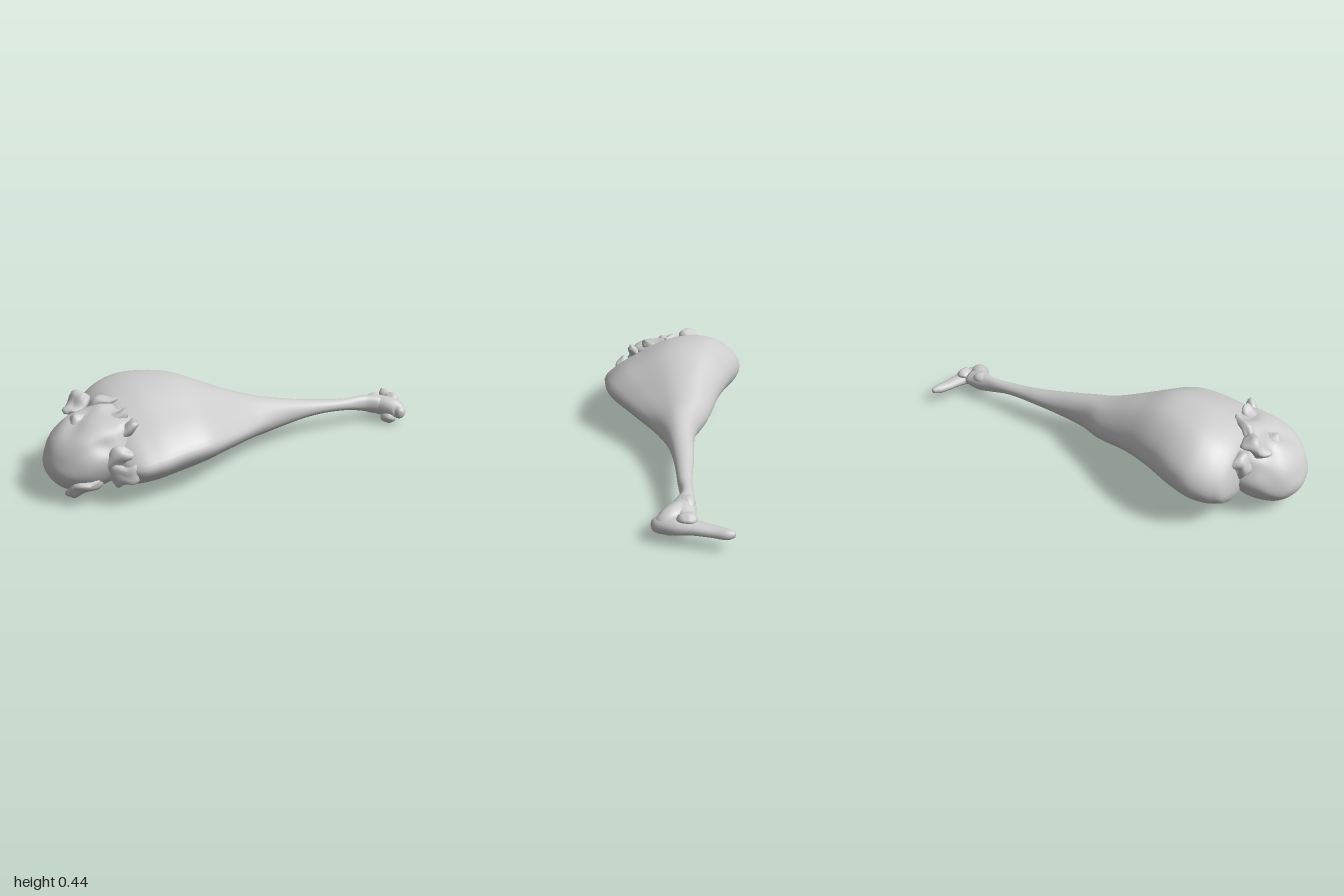
import * as THREE from 'three';
import { mergeVertices } from 'three/addons/utils/BufferGeometryUtils.js';

const material = new THREE.MeshStandardMaterial({ color: 0xcccccc, roughness: 0.8 });
const V = (x, y, z) => new THREE.Vector3(x, y, z);

// Smooth, repeatable surface unevenness in about -1..1
const lumps = (p, f) =>
  (Math.sin(p.x * f + 1.3 * Math.sin(p.z * f * 0.8)) + Math.sin(p.y * f * 1.3 + 2 + Math.sin(p.x * f)) +
    Math.sin(p.z * f * 1.1 + 4 + Math.sin(p.y * f * 0.9))) / 3;

// Smooth interpolation through rows; the first column is the parameter
function sampler(rows) {
  const n = rows[0].length - 1;
  const track = new THREE.CubicInterpolant(rows.map(r => r[0]), rows.flatMap(r => r.slice(1)), n, new Array(n));
  return t => [...track.evaluate(t)];
}

// Skin through closed rings of points, with both ends capped
function loft(rings) {
  const n = rings[0].length, pos = [], idx = [];
  rings.forEach(r => r.forEach(p => pos.push(p.x, p.y, p.z)));
  for (let i = 0; i < rings.length - 1; i++)
    for (let j = 0; j < n; j++) {
      const a = i * n + j, b = i * n + (j + 1) % n;
      idx.push(a, a + n, b, b, a + n, b + n);
    }
  [0, rings.length - 1].forEach((i, end) => {
    const c = rings[i].reduce((s, p) => s.add(p), V(0, 0, 0)).divideScalar(n);
    const k = pos.length / 3;
    pos.push(c.x, c.y, c.z);
    for (let j = 0; j < n; j++) {
      const a = i * n + j, b = i * n + (j + 1) % n;
      if (end) idx.push(k, b, a); else idx.push(k, a, b);
    }
  });
  const g = new THREE.BufferGeometry();
  g.setAttribute('position', new THREE.Float32BufferAttribute(pos, 3));
  g.setIndex(idx);
  g.computeVertexNormals();
  return g;
}

function add(group, name, geometry) {
  const mesh = new THREE.Mesh(geometry, material);
  mesh.name = name;
  group.add(mesh);
  return mesh;
}

// Sphere reshaped by a rule on its unit-sphere points
function blob(rule, w = 40, h = 28) {
  let g = new THREE.SphereGeometry(1, w, h);
  g.deleteAttribute('uv');
  g.deleteAttribute('normal');
  g = mergeVertices(g, 1e-4);
  const p = g.attributes.position, v = V(0, 0, 0);
  for (let i = 0; i < p.count; i++) {
    rule(v.fromBufferAttribute(p, i));
    p.setXYZ(i, v.x, v.y, v.z);
  }
  g.computeVertexNormals();
  return g;
}

// Limb along a path; rows are [x, y, z, half width, half height]
function limb(rows, steps = 28, sides = 16) {
  const at = sampler(rows.map((r, i) => [i, ...r])), rings = [], up = V(0, 1, 0);
  for (let i = 0; i <= steps; i++) {
    const t = i / steps * (rows.length - 1);
    const [x, y, z, w, h] = at(t);
    const q = at(Math.min(t + 0.05, rows.length - 1)), r = at(Math.max(t - 0.05, 0));
    const side = V(q[0] - r[0], 0, q[2] - r[2]).normalize().cross(up);
    rings.push(Array.from({ length: sides }, (_, j) => {
      const a = j / sides * Math.PI * 2;
      return V(x, y, z).addScaledVector(side, Math.cos(a) * w).addScaledVector(up, Math.sin(a) * h);
    }));
  }
  return loft(rings);
}

export function createModel() {
  const group = new THREE.Group();
  group.name = 'meatLeg';

  // Thigh and shank: x, bottom, top, back z, front z
  const body = sampler([
    [-0.76, 0.10, 0.27, -0.20, 0.20],
    [-0.74, 0.05, 0.33, -0.29, 0.28],
    [-0.70, 0.02, 0.375, -0.34, 0.34],
    [-0.60, 0.005, 0.425, -0.38, 0.375],
    [-0.50, 0.015, 0.443, -0.36, 0.375],
    [-0.35, 0.04, 0.432, -0.285, 0.355],
    [-0.20, 0.052, 0.37, -0.21, 0.28],
    [0.00, 0.06, 0.285, -0.13, 0.165],
    [0.10, 0.068, 0.255, -0.07, 0.125],
    [0.20, 0.08, 0.23, -0.04, 0.10],
    [0.40, 0.10, 0.185, -0.015, 0.08],
    [0.60, 0.092, 0.155, 0.015, 0.08],
    [0.72, 0.065, 0.152, 0.02, 0.085],
    [0.80, 0.045, 0.148, 0.02, 0.13],
    [0.87, 0.06, 0.125, 0.03, 0.13],
  ]);
  // Lopsided outline of the thigh in unit coordinates (z, y)
  const outline = new THREE.CatmullRomCurve3([
    [1, -0.1], [0.79, 0.26], [0.5, 0.56], [0.08, 0.91], [-0.26, 1], [-0.6, 0.92], [-0.93, 0.5],
    [-1, 0.04], [-0.8, -0.4], [-0.48, -0.74], [-0.08, -0.98], [0.22, -0.97], [0.6, -0.72], [0.88, -0.45],
  ].map(([z, y]) => V(0, y, z)), true);
  const sides = 56, steps = 110, rings = [];
  for (let i = 0; i <= steps; i++) {
    const x = -0.76 + 1.63 * i / steps;
    const [y0, y1, z0, z1] = body(x);
    const thigh = 1 - THREE.MathUtils.smoothstep(x, -0.2, 0.3);
    rings.push(Array.from({ length: sides }, (_, j) => {
      const a = j / sides * Math.PI * 2;
      const u = V(0, Math.sin(a), Math.cos(a)).lerp(outline.getPoint(j / sides), thigh);
      const p = V(x, (y0 + y1) / 2 + u.y * (y1 - y0) / 2, (z0 + z1) / 2 + u.z * (z1 - z0) / 2);
      const k = 1 + lumps(p, 13) * 0.02;
      p.y = (y0 + y1) / 2 + (p.y - (y0 + y1) / 2) * k;
      p.z = (z0 + z1) / 2 + (p.z - (z0 + z1) / 2) * k;
      return p;
    }));
  }
  add(group, 'thighAndShank', loft(rings));

  // Rounded joint end, crumpled on top and smooth outside
  add(group, 'jointEnd', blob(v => {
    const rough = 0.02 + 0.07 * THREE.MathUtils.smoothstep(v.x + v.y, -0.3, 0.6);
    v.multiplyScalar(1 + lumps(v, 7) * rough);
    const lean = v.x * 0.055;
    v.set(-0.78 + v.x * 0.22, 0.205 + v.y * 0.165 + lean, 0.04 + v.z * 0.215);
  }, 56, 40));

  // Torn skin folds round the joint: x, y, z, half length, half height, half depth, turn
  const folds = [
    [-0.79, 0.36, -0.10, 0.07, 0.035, 0.05, 0.5], [-0.72, 0.365, -0.02, 0.08, 0.03, 0.03, -0.6],
    [-0.83, 0.325, 0.02, 0.07, 0.03, 0.035, 0.3], [-0.72, 0.335, 0.10, 0.10, 0.03, 0.035, -0.5],
    [-0.69, 0.31, 0.18, 0.08, 0.03, 0.035, -0.8], [-0.82, 0.26, 0.16, 0.08, 0.04, 0.03, -0.5],
    [-0.76, 0.21, 0.24, 0.09, 0.045, 0.035, -0.7], [-0.74, 0.29, -0.17, 0.06, 0.06, 0.05, 0.7],
    [-0.88, 0.09, 0.17, 0.09, 0.035, 0.06, -0.6], [-0.73, 0.15, 0.28, 0.07, 0.05, 0.04, -0.8],
  ];
  folds.forEach(([x, y, z, l, h, d, turn], i) => {
    const fold = add(group, 'skinFold', blob(v => {
      v.multiplyScalar(1 + 0.22 * lumps(v.clone().addScalar(i), 4));
      v.set(v.x * l, v.y * h + 0.012 * Math.sin(v.x * 4 + i), v.z * d);
    }, 18, 12));
    fold.position.set(x, y, z);
    fold.rotation.set(0, turn, 0.45);
  });

  // Ankle knuckle bulging towards the front
  add(group, 'knuckle', limb([
    [0.75, 0.10, 0.06, 0.015, 0.02], [0.79, 0.095, 0.075, 0.04, 0.048], [0.84, 0.09, 0.12, 0.05, 0.052],
    [0.865, 0.08, 0.165, 0.04, 0.045], [0.865, 0.075, 0.20, 0.012, 0.02],
  ]));
  // Toe bone running back and outwards
  add(group, 'toe', limb([
    [0.85, 0.07, 0.205, 0.012, 0.018], [0.865, 0.072, 0.18, 0.035, 0.035], [0.89, 0.078, 0.11, 0.05, 0.036],
    [0.92, 0.08, 0.04, 0.04, 0.028], [0.95, 0.076, -0.03, 0.032, 0.023], [0.975, 0.075, -0.08, 0.026, 0.022],
    [0.985, 0.078, -0.11, 0.01, 0.012],
  ]));
  // Small spurs under and above the ankle
  [[0.83, 0.04, 0.14, 0.04, 0.035, 0.035], [0.9, 0.112, 0.07, 0.035, 0.025, 0.04], [0.78, 0.125, 0.06, 0.05, 0.028, 0.035]]
    .forEach(([x, y, z, a, b, c]) => add(group, 'ankleSpur',
      blob(v => v.multiplyScalar(1 + 0.15 * lumps(v, 4)).multiply(V(a, b, c)), 16, 12)).position.set(x, y, z));

  return group;
}
